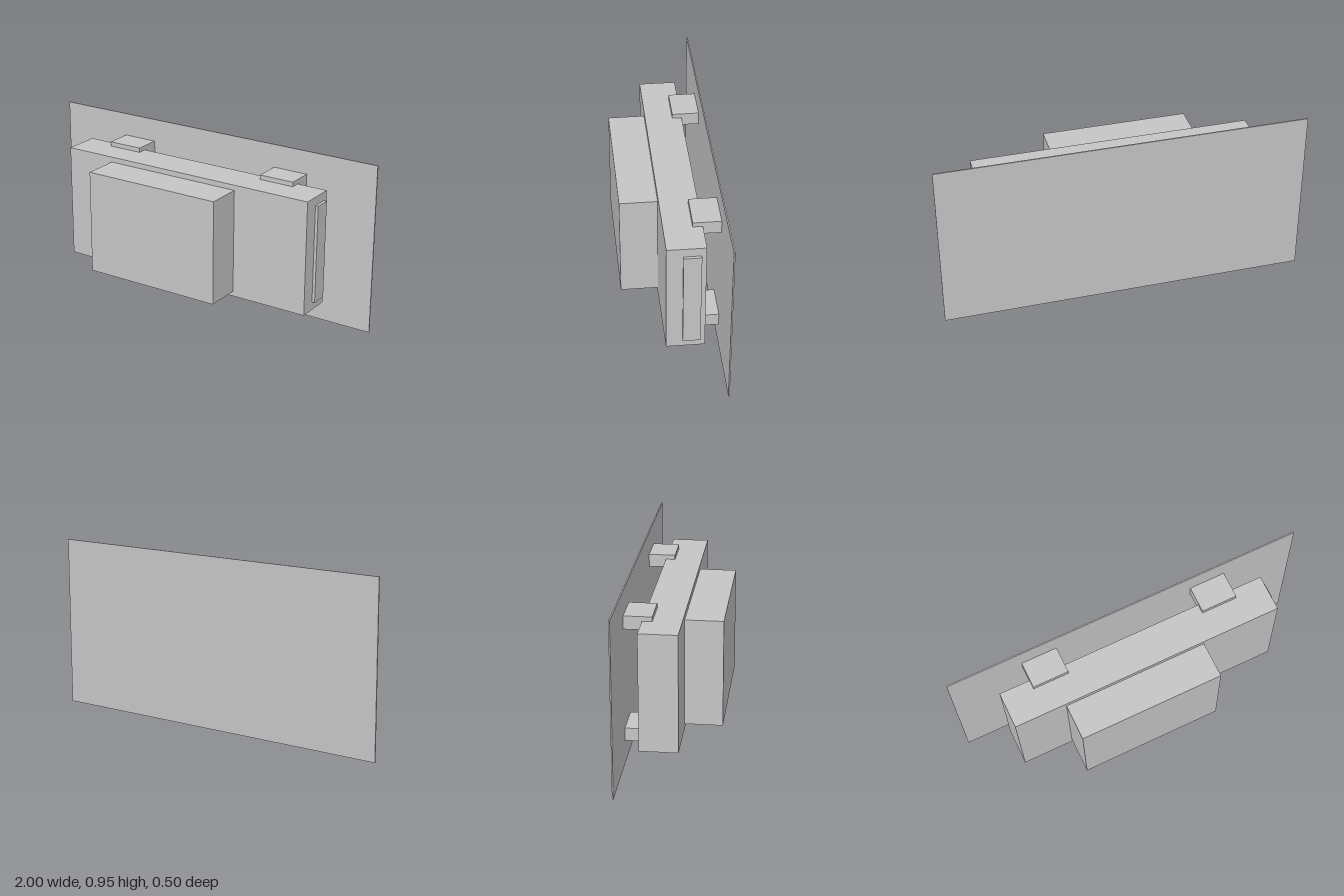
import * as THREE from 'three';

export function createModel() {
  const model = new THREE.Group();
  const grey = new THREE.MeshStandardMaterial({ color: 0xc6c6c6 });
  grey.name = 'light grey';

  // Box given by its lower and upper limits on each axis
  function addBox(name, [x0, x1], [y0, y1], [z0, z1]) {
    const mesh = new THREE.Mesh(new THREE.BoxGeometry(x1 - x0, y1 - y0, z1 - z0), grey);
    mesh.position.set((x0 + x1) / 2, (y0 + y1) / 2, (z0 + z1) / 2);
    mesh.name = name;
    model.add(mesh);
  }

  // Thin upright sheet at the back
  addBox('backPanel', [-1, 1], [0, 0.946], [-0.252, -0.245]);

  // Wide housing with a smaller block on its front
  addBox('housing', [-0.764, 0.763], [0.155, 0.793], [-0.15, 0.052]);
  addBox('frontBlock', [-0.475, 0.325], [0.183, 0.764], [0.052, 0.252]);

  // Raised plate on the left end
  addBox('sidePlate', [0.763, 0.779], [0.2, 0.745], [-0.125, -0.033]);

  // Four brackets joining the housing to the panel
  for (const [side, x] of [['right', -0.593], ['left', 0.39]]) {
    for (const [level, y] of [['Lower', 0.128], ['Upper', 0.747]]) {
      addBox(`${side}${level}Bracket`, [x, x + 0.2], [y, y + 0.071], [-0.245, -0.098]);
    }
  }

  return model;
}
